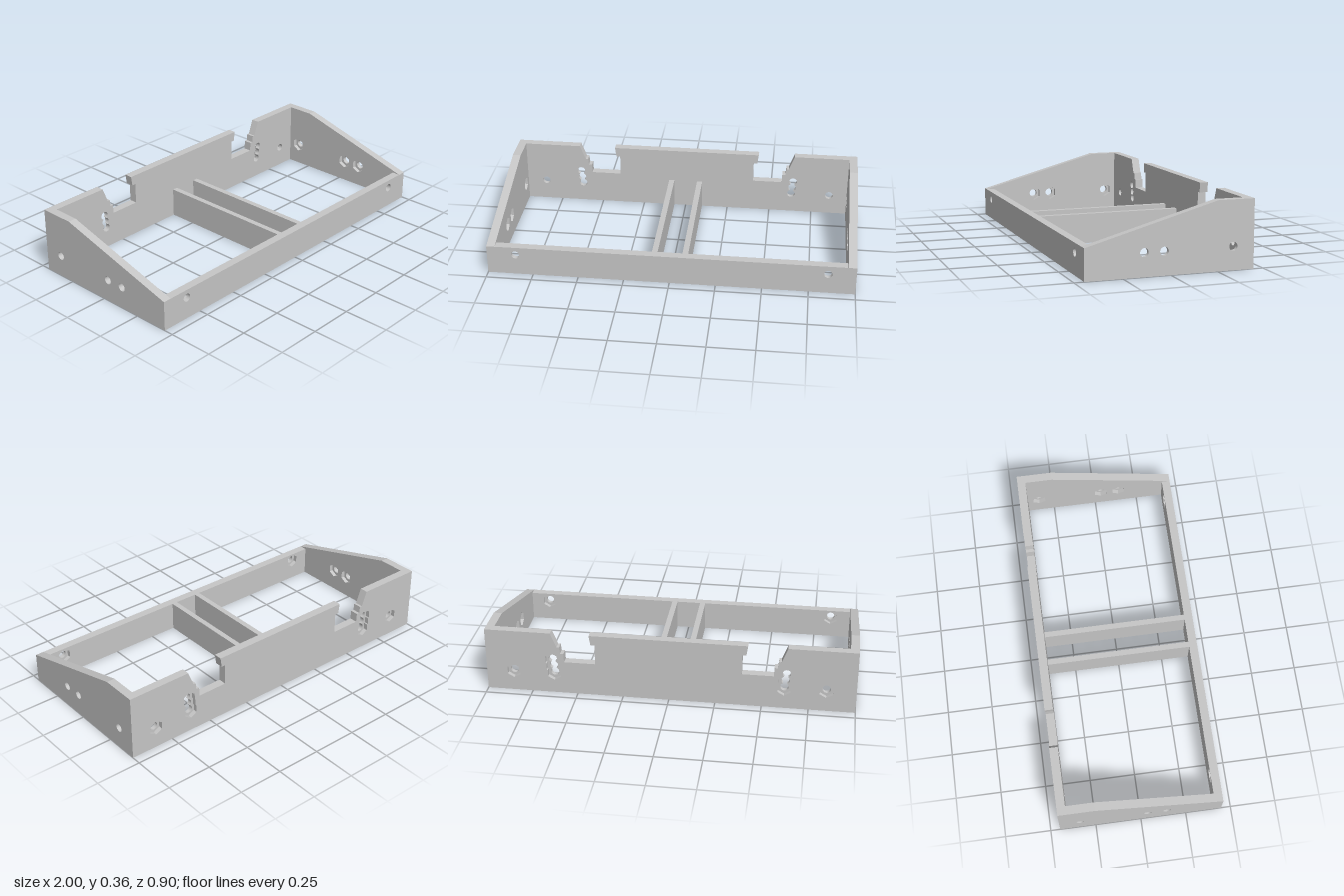
import * as THREE from 'three';

const grey = new THREE.MeshStandardMaterial({ color: 0xc6c6c6 });
grey.name = 'light grey';

const T = 0.046, DEPTH = 0.448, LOW = 0.165, HIGH = 0.36;
const BOLT = 0.0225, NUT = 0.041, SHIFT = 0.004;

// Half width of a round or pointy-topped hexagonal opening at height dy
const roundWidth = (dy) => Math.sqrt(Math.max(0, BOLT * BOLT - dy * dy));
const hexWidth = (dy) => Math.max(0, Math.min(NUT * 0.866, (NUT - Math.abs(dy)) * 1.732));

function roundHole([x, y]) {
  return new THREE.Path().absarc(x, y, BOLT, 0, Math.PI * 2, true);
}

function hexHole([x, y]) {
  const pts = [];
  for (let i = 0; i < 6; i++) {
    const a = Math.PI / 2 + i * Math.PI / 3;
    pts.push(new THREE.Vector2(x + NUT * Math.cos(a), y + NUT * Math.sin(a)));
  }
  return new THREE.Path(pts);
}

// Merged outline of overlapping openings stacked in a column
function columnHole(centres, width, r) {
  const top = centres[0][1] + r, bottom = centres[centres.length - 1][1] - r;
  const left = [], right = [], n = 48;
  for (let i = 0; i <= n; i++) {
    const y = top + (bottom - top) * i / n;
    const near = centres.filter((c) => Math.abs(y - c[1]) <= r + 1e-6);
    const lo = Math.min(...near.map(([x, cy]) => x - width(y - cy)));
    const hi = Math.max(...near.map(([x, cy]) => x + width(y - cy)));
    left.push(new THREE.Vector2(lo, y));
    if (i > 0 && i < n) right.unshift(new THREE.Vector2(hi, y));
  }
  return new THREE.Path(left.concat(right));
}

// Half-thickness sheet with holes, starting at z = 0
function sheet(outline, holes) {
  const shape = new THREE.Shape(outline.map(([x, y]) => new THREE.Vector2(x, y)));
  shape.holes.push(...holes);
  return new THREE.ExtrudeGeometry(shape, { depth: T / 2, bevelEnabled: false, curveSegments: 24 });
}

// Panel made of two sheets: back holes first, then front holes
function panel(name, outline, backHoles, frontHoles) {
  const group = new THREE.Group();
  group.name = name;
  [backHoles, frontHoles].forEach((holes, i) => {
    const mesh = new THREE.Mesh(sheet(outline, holes), grey);
    mesh.name = name + (i ? 'FrontLayer' : 'BackLayer');
    mesh.position.z = i * T / 2;
    group.add(mesh);
  });
  return group;
}

export function createModel() {
  const model = new THREE.Group();
  model.name = 'openTray';
  const bolts = [[-0.842, 0.12], [0.85, 0.117]];

  // Low front wall, nut pockets on its inner face
  const w = 1 - T;
  const front = panel('frontWall', [[-w, 0], [w, 0], [w, LOW], [-w, LOW]],
    bolts.map(hexHole), bolts.map(roundHole));
  front.position.z = DEPTH - T;
  model.add(front);

  // Tall back wall with two stepped notches and columns of adjustment holes
  const notch = [[0.425, 0.36], [0.417, 0.305], [0.395, 0.305], [0.395, 0.19], [0.565, 0.19],
    [0.567, 0.24], [0.585, 0.24], [0.589, 0.278], [0.603, 0.278], [0.635, 0.36]];
  const notchOn = (s) => notch.map(([x, y]) => [s * x + SHIFT, y]);
  const back = [[-1, 0], [1, 0], [1, HIGH], ...notchOn(1).reverse(), ...notchOn(-1), [-1, HIGH]];
  const columns = [-1, 1].map((s) =>
    [[0.632, 0.197], [0.627, 0.157], [0.622, 0.117]].map(([x, y]) => [s * x + SHIFT, y]));
  const rear = panel('backWall', back,
    [...bolts.map(hexHole), ...columns.map((c) => columnHole(c, hexWidth, NUT))],
    [...bolts.map(roundHole), ...columns.map((c) => columnHole(c, roundWidth, BOLT))]);
  rear.position.z = -DEPTH;
  model.add(rear);

  // Sloping side walls, drawn in z and y, nut pockets facing inward
  const side = [[-DEPTH + T, 0], [DEPTH, 0], [DEPTH, LOW], [-0.25, HIGH], [-DEPTH + T, HIGH]];
  const sideBolts = [[0.14, 0.123], [0.035, 0.123], [-0.335, 0.123]];
  for (const s of [1, -1]) {
    const rounds = sideBolts.map(roundHole), hexes = sideBolts.map(hexHole);
    const wall = panel(s > 0 ? 'leftWall' : 'rightWall', side,
      s > 0 ? rounds : hexes, s > 0 ? hexes : rounds);
    wall.rotation.y = -Math.PI / 2;
    wall.position.x = s > 0 ? 1 : -1 + T;
    model.add(wall);
  }

  // Two dividers across the middle
  for (const s of [-1, 1]) {
    const divider = new THREE.Mesh(new THREE.BoxGeometry(0.031, LOW, 2 * (DEPTH - T)), grey);
    divider.name = s > 0 ? 'leftDivider' : 'rightDivider';
    divider.position.set(s * 0.083, LOW / 2, 0);
    model.add(divider);
  }
  return model;
}
